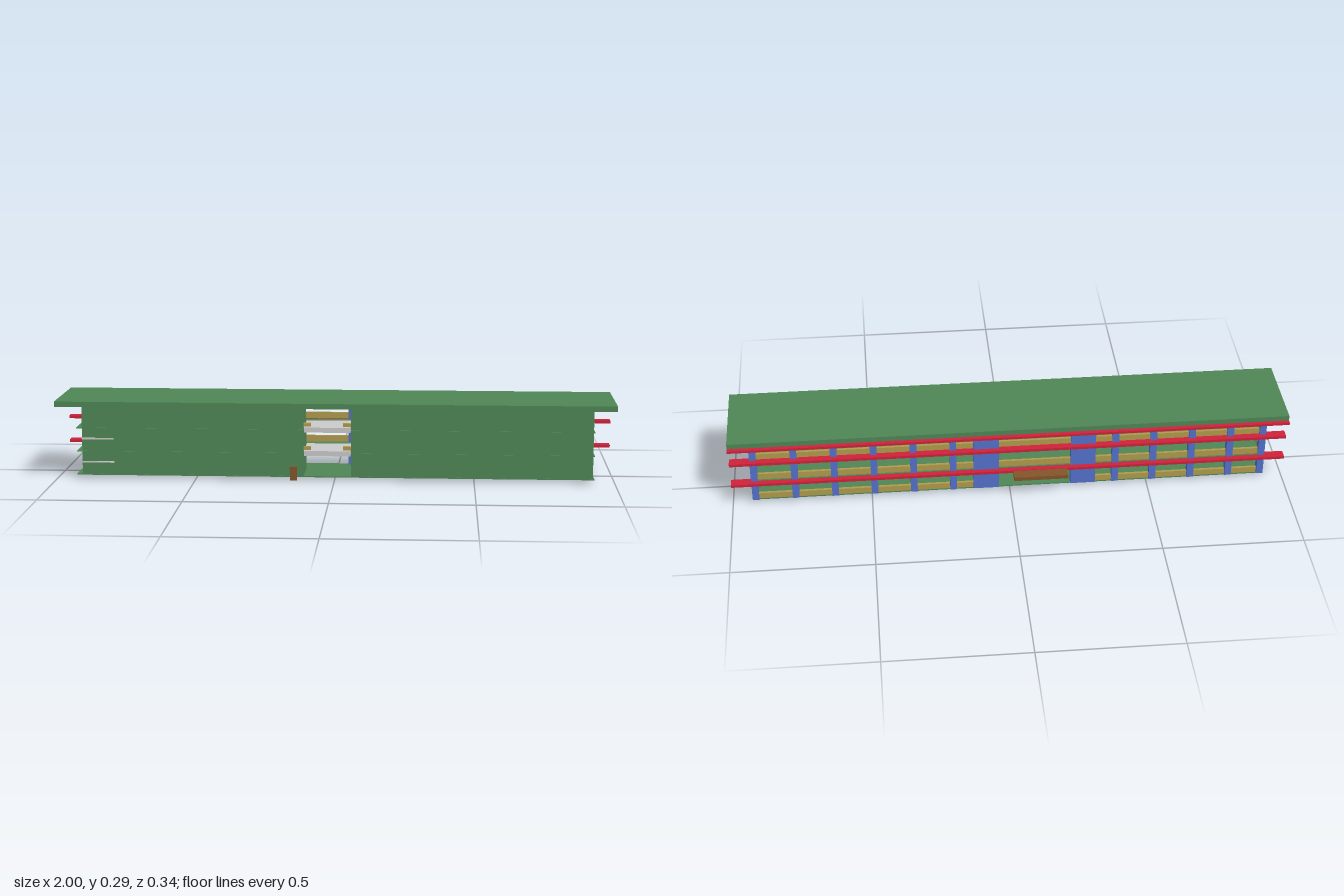
import * as THREE from 'three';

const mat = (name, color) => {
  const m = new THREE.MeshStandardMaterial({ color });
  m.name = name;
  return m;
};

export function createModel() {
  const green = mat('green', 0x4f8656);
  const blue = mat('blue', 0x546fca);
  const red = mat('red', 0xcf2139);
  const gold = mat('gold', 0xb09a4c);
  const brown = mat('brown', 0x83542a);
  const grey = mat('light grey', 0xcacaca);
  const model = new THREE.Group();
  model.name = 'building';

  // Box given by its limits on each axis
  const box = (name, m, x0, x1, y0, y1, z0, z1) => {
    const mesh = new THREE.Mesh(new THREE.BoxGeometry(x1 - x0, y1 - y0, z1 - z0), m);
    mesh.position.set((x0 + x1) / 2, (y0 + y1) / 2, (z0 + z1) / 2);
    mesh.name = name;
    model.add(mesh);
  };

  const floors = [0.012, 0.097, 0.182]; // underside of each floor slab
  const top = 0.267;

  // Roof and the two wings either side of the open stairwell
  box('roof', green, -1, 1, top, 0.286, -0.145, 0.173);
  box('rightWing', green, -0.91, -0.11, 0.016, top, -0.003, 0.13);
  box('leftWing', green, 0.06, 0.922, 0.016, top, -0.003, 0.13);

  // Floor slabs: the upper ones stop at the stairwell in front
  box('groundSlab', green, -0.93, 0.927, floors[0], 0.016, -0.105, 0.131);
  for (const y of floors.slice(1)) {
    box('corridorSlab', green, -0.93, 0.927, y, y + 0.003, -0.11, -0.003);
    box('rightSlab', green, -0.93, -0.11, y, y + 0.003, -0.003, 0.132);
    box('leftSlab', green, 0.06, 0.927, y, y + 0.003, -0.003, 0.132);
  }

  // Corridor columns along the back, and a second one at each end wall
  const columns = [0.917, 0.773, 0.631, 0.489, 0.347, 0.205, -0.382, -0.52, -0.66, -0.8, -0.918];
  for (const x of columns) box('column', blue, x - 0.012, x + 0.012, 0.016, top, -0.113, -0.088);
  for (const x of [-0.918, 0.917]) box('innerColumn', blue, x - 0.012, x + 0.012, 0.016, top, -0.027, -0.003);

  // Broad pillars flanking the back entrance
  box('entrancePillar', blue, 0.04, 0.132, 0.016, top, -0.113, -0.088);
  box('entrancePillar', blue, -0.31, -0.22, 0.016, top, -0.113, -0.088);

  // Long sunshade beams
  box('beam', red, -1, 1, 0.088, 0.098, -0.13, -0.095);
  box('beam', red, -1, 1, 0.178, 0.188, -0.13, -0.095);
  box('topBeam', red, -1, 1, 0.258, 0.2668, -0.16, -0.1135);

  // Parapets: open at the entrance on the ground, continuous above
  box('groundParapet', gold, -0.91, -0.31, 0.016, 0.038, -0.104, -0.094);
  box('groundParapet', gold, 0.132, 0.91, 0.016, 0.038, -0.104, -0.094);
  for (const y of [0.1, 0.187]) {
    box('parapet', gold, -0.91, 0.91, y, y + 0.023, -0.104, -0.094);
    for (const x of [-0.918, 0.917]) box('endParapet', gold, x - 0.005, x + 0.005, y, y + 0.023, -0.088, -0.027);
  }

  // Stairwell landings with short side rails
  for (const y of [0.093, 0.178]) {
    box('landing', grey, -0.108, 0.058, y, y + 0.018, 0, 0.148);
    box('landingRail', gold, -0.112, -0.085, y + 0.012, y + 0.03, 0.112, 0.129);
    box('landingRail', gold, 0.03, 0.062, y + 0.012, y + 0.03, 0.112, 0.129);
  }

  // Narrow ledges on the front near the right end
  for (const y of [0.058, 0.143]) box('ledge', grey, -0.91, -0.795, y, y + 0.005, 0.13, 0.136);

  // Entrance canopy at the back and the sign post at the front
  box('entranceCanopy', brown, -0.205, -0.01, 0.082, 0.0965, -0.172, -0.045);
  box('post', brown, -0.16, -0.135, 0, 0.05, 0.1305, 0.136);
  box('postFoot', brown, -0.16, -0.135, 0, 0.0115, 0.112, 0.123);

  return model;
}
